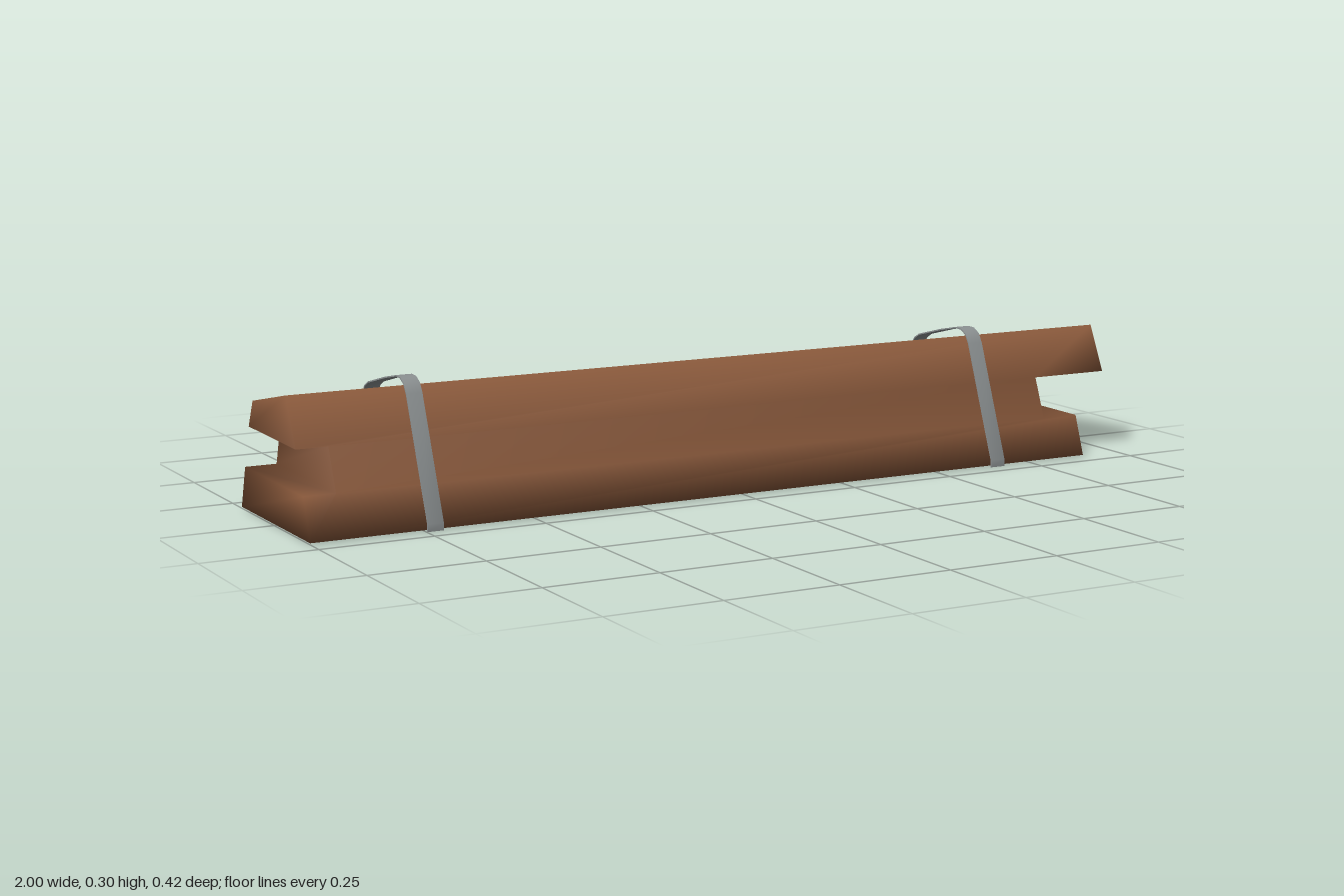
import * as THREE from 'three';
import { toCreasedNormals } from 'three/addons/utils/BufferGeometryUtils.js';

const wood = new THREE.MeshStandardMaterial({ color: 0x8b5a3c });
wood.name = 'brown wood';
const steel = new THREE.MeshStandardMaterial({ color: 0x8c9192 });
steel.name = 'grey steel';

// Stack levels, bottom to top: front [z, y], back [z, y], and the x stations at that level
const LEVELS = [
  { front: [0.203, 0.003], back: [-0.193, 0.003], xs: [-1, 0.9] },
  { front: [0.171, 0.092], back: [-0.166, 0.094], xs: [-1, -0.93, 0.81, 0.9] },
  { front: [0.135, 0.182], back: [-0.137, 0.185], xs: [-1, -0.93, 0.81, 1] },
  { front: [0.086, 0.285], back: [-0.109, 0.244], xs: [-1, 1] },
];

// Strap path over the stack as [z, y], front foot to back foot
const STRAP = [
  [0.21, 0], [0.21, 0.016], [0.111, 0.271], [0.098, 0.291], [0.079, 0.301], [0.057, 0.302],
  [-0.002, 0.29], [-0.096, 0.266], [-0.116, 0.255], [-0.13, 0.236], [-0.206, 0.018], [-0.207, 0],
];

// Three tiers of planks, the middle one shorter so both ends are notched
function plankStack() {
  const pos = [], index = [];
  const F = [], B = [];
  LEVELS.forEach(({ front, back, xs }) => {
    const add = ([z, y]) => xs.map((x) => pos.push(x, y, z) / 3 - 1);
    F.push(add(front));
    B.push(add(back));
  });
  const fan = (ids) => {
    for (let i = 1; i < ids.length - 1; i++) index.push(ids[0], ids[i], ids[i + 1]);
  };
  // Long front and back faces of each tier
  const side = (S, flip) => {
    const faces = [
      [...S[0], ...[...S[1]].reverse()],
      [S[1][1], S[1][2], S[2][2], S[2][1]],
      [...[...S[3]].reverse(), ...S[2]],
    ];
    faces.forEach((f) => fan(flip ? f.reverse() : f));
  };
  side(F, false);
  side(B, true);
  // Strips from front to back, following the outline with its notches
  const outline = [
    [0, 0], [0, 1], [1, 3], [1, 2], [2, 2], [2, 3], [3, 1], [3, 0],
    [2, 0], [2, 1], [1, 1], [1, 0],
  ];
  outline.forEach(([l, i], k) => {
    const [m, j] = outline[(k + 1) % outline.length];
    fan([F[l][i], B[l][i], B[m][j], F[m][j]]);
  });
  const g = new THREE.BufferGeometry();
  g.setAttribute('position', new THREE.Float32BufferAttribute(pos, 3));
  g.setIndex(index);
  g.computeVertexNormals();
  return g;
}

// Thin open band extruded along x
function strapGeometry(width, thickness) {
  const outer = STRAP.map(([z, y]) => new THREE.Vector2(-z, y));
  const inner = outer.map((p, i) => {
    const a = outer[Math.max(i - 1, 0)], b = outer[Math.min(i + 1, outer.length - 1)];
    const d = b.clone().sub(a).normalize();
    return new THREE.Vector2(p.x + d.y * thickness, p.y - d.x * thickness);
  });
  const g = new THREE.ExtrudeGeometry(new THREE.Shape([...outer, ...inner.reverse()]), {
    depth: width, bevelEnabled: false,
  });
  g.translate(0, 0, -width / 2).rotateY(Math.PI / 2);
  return toCreasedNormals(g, 0.8);
}

export function createModel() {
  const group = new THREE.Group();
  group.name = 'strappedPlanks';

  const planks = new THREE.Mesh(plankStack(), wood);
  planks.name = 'plankStack';
  group.add(planks);

  const band = strapGeometry(0.036, 0.003);
  [['rightStrap', -0.73], ['leftStrap', 0.657]].forEach(([name, x]) => {
    const strap = new THREE.Mesh(band, steel);
    strap.name = name;
    strap.position.x = x;
    group.add(strap);
  });
  return group;
}
